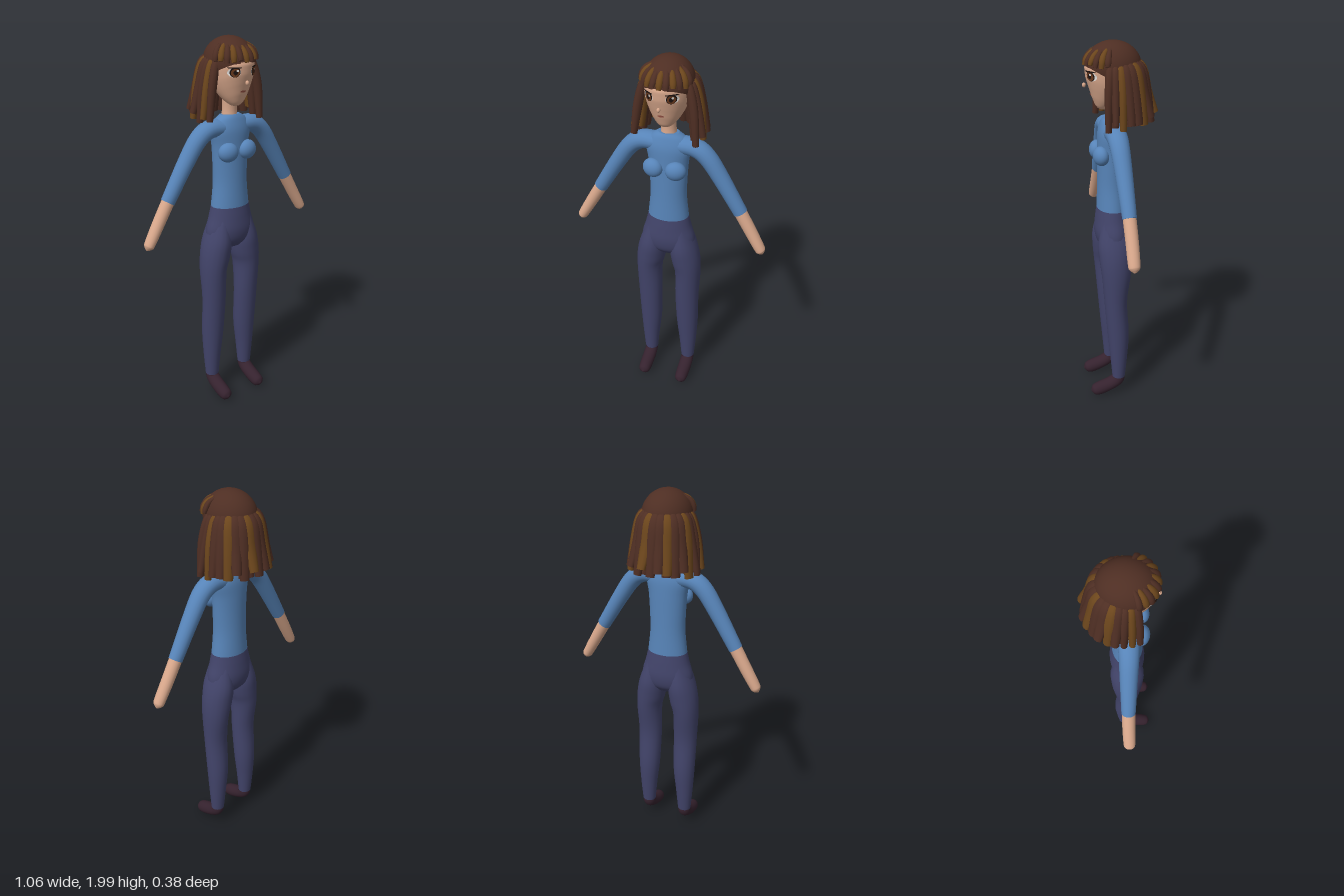
import * as THREE from 'three';

const mat = (name, color, side = THREE.FrontSide) => {
  const m = new THREE.MeshStandardMaterial({ color, side });
  m.name = name;
  return m;
};

// Smooth loft through sections [x, y, z, radius along w, radius across], with closed ends
function loft(sections, w0, radial = 20, perSpan = 5) {
  const path = new THREE.CatmullRomCurve3(sections.map(s => new THREE.Vector3(s[0], s[1], s[2])), false, 'catmullrom');
  const size = new THREE.CatmullRomCurve3(sections.map(s => new THREE.Vector3(s[3], s[4], 0)), false, 'catmullrom');
  const rows = (sections.length - 1) * perSpan;
  const pos = [], index = [], rings = [];
  const ring = k => {
    const c = path.getPoint(k / rows), r = size.getPoint(k / rows), t = path.getTangent(k / rows);
    const w = w0.clone().addScaledVector(t, -w0.dot(t)).normalize();
    const v = t.clone().cross(w);
    const start = pos.length / 3;
    for (let i = 0; i < radial; i++) {
      const a = (i / radial) * Math.PI * 2;
      const p = c.clone().addScaledVector(w, Math.cos(a) * r.x).addScaledVector(v, Math.sin(a) * r.y);
      pos.push(p.x, p.y, p.z);
    }
    return { start, c };
  };
  for (let k = 0; k <= rows; k++) rings.push(ring(k).start);
  for (let k = 0; k < rows; k++) {
    for (let i = 0; i < radial; i++) {
      const j = (i + 1) % radial, a = rings[k], b = rings[k + 1];
      index.push(a + i, a + j, b + j, a + i, b + j, b + i);
    }
  }
  for (const k of [0, rows]) {
    const { start, c } = ring(k), mid = pos.length / 3;
    pos.push(c.x, c.y, c.z);
    for (let i = 0; i < radial; i++) {
      const j = (i + 1) % radial;
      if (k) index.push(mid, start + i, start + j);
      else index.push(mid, start + j, start + i);
    }
  }
  const g = new THREE.BufferGeometry();
  g.setAttribute('position', new THREE.Float32BufferAttribute(pos, 3));
  g.setIndex(index);
  g.computeVertexNormals();
  return g;
}

export function createModel() {
  const model = new THREE.Group();
  model.name = 'woman';
  const skin = mat('skin', 0xd9a88c), shirt = mat('blue shirt', 0x5784b8), pants = mat('navy trousers', 0x42446a);
  const shoe = mat('dark shoes', 0x35222e), darkHair = mat('dark brown hair', 0x4e2e23, THREE.DoubleSide);
  const lightHair = mat('light brown hair', 0x6c461c), white = mat('eye white', 0xf0ece8);
  const black = mat('eye black', 0x1c1210), iris = mat('brown iris', 0x6a3a1e), lip = mat('lips', 0x9c5547);
  const X = new THREE.Vector3(1, 0, 0), Z = new THREE.Vector3(0, 0, 1);

  const add = (name, geometry, material) => {
    const m = new THREE.Mesh(geometry, material);
    m.name = name;
    model.add(m);
    return m;
  };

  // Body
  add('torso', loft([
    [0, 1.125, 0.05, 0.11, 0.081], [0, 1.25, 0.05, 0.097, 0.076], [0, 1.36, 0.05, 0.099, 0.074],
    [0, 1.46, 0.05, 0.106, 0.073], [0, 1.535, 0.05, 0.118, 0.07], [0, 1.585, 0.049, 0.095, 0.058],
    [0, 1.612, 0.047, 0.055, 0.046]], X, 28), shirt);
  add('pelvis', loft([
    [0, 1.13, 0.05, 0.11, 0.081], [0, 1.07, 0.05, 0.124, 0.089], [0, 1, 0.05, 0.144, 0.094],
    [0, 0.94, 0.05, 0.14, 0.082], [0, 0.9, 0.05, 0.09, 0.05]], X, 28), pants);
  add('neck', loft([[0, 1.57, 0.045, 0.045, 0.043], [0, 1.64, 0.045, 0.038, 0.037],
    [0, 1.73, 0.05, 0.042, 0.04]], X), skin);

  for (const s of [1, -1]) {
    const side = s > 0 ? 'left' : 'right';
    const limb = (part, sections, w, material) =>
      add(side + part, loft(sections.map(([x, ...rest]) => [x * s, ...rest]), w, 18), material);

    const bust = add(side + 'Bust', new THREE.SphereGeometry(1, 24, 16), shirt);
    bust.scale.set(0.054, 0.05, 0.04);
    bust.position.set(s * 0.06, 1.432, 0.117);
    bust.rotation.y = s * 0.2;

    limb('Sleeve', [[0.05, 1.55, 0.05, 0.055, 0.045], [0.135, 1.547, 0.05, 0.053, 0.047],
      [0.2, 1.505, 0.05, 0.049, 0.046], [0.27, 1.405, 0.048, 0.044, 0.043],
      [0.385, 1.215, 0.046, 0.036, 0.037]], Z, shirt);
    limb('Forearm', [[0.37, 1.24, 0.046, 0.034, 0.034], [0.44, 1.12, 0.047, 0.033, 0.032],
      [0.495, 1.026, 0.05, 0.031, 0.028], [0.508, 1.003, 0.05, 0.026, 0.023],
      [0.517, 0.988, 0.05, 0.006, 0.006]], Z, skin);
    limb('TrouserLeg', [[0.07, 1.06, 0.05, 0.045, 0.07], [0.083, 0.95, 0.05, 0.072, 0.091],
      [0.098, 0.86, 0.05, 0.078, 0.088], [0.111, 0.77, 0.05, 0.07, 0.079],
      [0.109, 0.6, 0.053, 0.066, 0.062], [0.11, 0.4, 0.04, 0.061, 0.059],
      [0.114, 0.25, 0.038, 0.049, 0.048], [0.115, 0.12, 0.039, 0.038, 0.036]], X, pants);
    limb('Shoe', [[0.115, 0.135, 0.039, 0.034, 0.032], [0.115, 0.1, 0.044, 0.037, 0.037],
      [0.115, 0.072, 0.085, 0.038, 0.037], [0.115, 0.048, 0.15, 0.036, 0.038],
      [0.115, 0.041, 0.184, 0.029, 0.029], [0.115, 0.038, 0.2, 0.005, 0.005]], X, shoe);
  }

  // Head
  const head = add('head', loft([
    [0, 1.664, 0.11, 0.012, 0.012], [0, 1.675, 0.105, 0.035, 0.032], [0, 1.705, 0.092, 0.062, 0.063],
    [0, 1.75, 0.075, 0.088, 0.097], [0, 1.8, 0.06, 0.106, 0.124], [0, 1.86, 0.047, 0.114, 0.136],
    [0, 1.93, 0.045, 0.1, 0.112], [0, 1.98, 0.045, 0.04, 0.045]], X, 32), skin);

  // Face details: thin discs wrapped onto the face
  const ray = new THREE.Raycaster();
  const decal = (name, x, y, rx, ry, lift, material) => {
    const g = new THREE.CircleGeometry(1, 20).scale(rx, ry, 1).translate(x, y, 0);
    const p = g.attributes.position;
    for (let i = 0; i < p.count; i++) {
      ray.set(new THREE.Vector3(p.getX(i), p.getY(i), 1), new THREE.Vector3(0, 0, -1));
      const hit = ray.intersectObject(head)[0];
      p.setZ(i, (hit ? hit.point.z : 0.12) + lift);
    }
    g.computeVertexNormals();
    add(name, g, material);
  };
  for (const s of [1, -1]) {
    decal('eyeWhite', s * 0.058, 1.839, 0.027, 0.023, 0.003, white);
    decal('eyeOutline', s * 0.056, 1.84, 0.022, 0.025, 0.0045, black);
    decal('iris', s * 0.056, 1.838, 0.018, 0.021, 0.006, iris);
    decal('pupil', s * 0.056, 1.839, 0.009, 0.012, 0.0075, black);
    decal('eyeGlint', s * 0.056 + 0.007, 1.848, 0.005, 0.006, 0.009, white);
    decal('upperLash', s * 0.059, 1.862, 0.029, 0.004, 0.008, black);
    decal('eyebrow', s * 0.058, 1.883, 0.026, 0.004, 0.005, darkHair);
  }
  decal('mouth', 0, 1.741, 0.017, 0.006, 0.004, lip);
  const nose = add('nose', new THREE.SphereGeometry(1, 12, 10), skin);
  nose.scale.set(0.009, 0.012, 0.01);
  nose.position.set(0, 1.787, 0.188);

  // Hair cap, open toward the face
  const cap = new THREE.SphereGeometry(1, 36, 20, 0, Math.PI * 2, 0, Math.PI * 0.62);
  cap.rotateX(-0.52).scale(0.126, 0.13, 0.145).translate(0, 1.87, 0.042);
  add('hairCap', cap, darkHair);

  // A lock follows [radius, height] steps outward at an angle from the back of the head
  const lock = (name, angle, steps, material) => {
    const sx = Math.sin(angle), cz = -Math.cos(angle);
    add(name, loft(steps.map(([r, y, wide, deep]) => [sx * r, y, 0.035 + cz * r, wide, deep]),
      new THREE.Vector3(-cz, 0, sx), 10, 4), material);
  };
  const rad = Math.PI / 180;

  // Hanging locks in an outer and an inner layer
  for (let i = 0; i < 19; i++) {
    const a = (-112 + i * 224 / 18) * rad, back = Math.max(0, Math.cos(a));
    const vary = Math.sin(i * 2.7), end = 1.6 + 0.02 * vary + 0.025 * back;
    const wide = 0.021 + 0.011 * Math.min(1, back * 2);
    lock('outerLock', a, [
      [0.092, 1.915 - 0.02 * (1 - back), 0.014, 0.012], [0.123 + 0.02 * back, 1.865, wide, 0.021],
      [0.152 + 0.015 * back, 1.75, wide, 0.024], [0.175 + 0.025 * back + 0.008 * vary, end, wide * 0.75, 0.017]],
      i % 3 === 1 ? lightHair : darkHair);
  }
  for (let i = 0; i < 14; i++) {
    const a = (-102 + i * 204 / 13) * rad, back = Math.max(0, Math.cos(a));
    lock('innerLock', a, [
      [0.1, 1.87, 0.02, 0.015], [0.122, 1.78, 0.028, 0.022],
      [0.14 + 0.015 * back, 1.61 + 0.02 * Math.cos(i * 2.1), 0.022, 0.018]],
      i % 3 === 0 ? lightHair : darkHair);
  }

  // Fringe
  for (let i = 0; i < 11; i++) {
    const b = (-65 + i * 13) * rad, f = Math.cos(b);
    lock('fringeLock', Math.PI - b, [
      [0.07, 1.972, 0.007, 0.006], [0.108 + 0.008 * f, 1.945, 0.014, 0.012],
      [0.122 + 0.018 * f, 1.915, 0.016, 0.013], [0.125 + 0.026 * f, 1.888 + 0.006 * Math.sin(i * 2), 0.012, 0.009]],
      i % 2 ? lightHair : darkHair);
  }
  return model;
}
